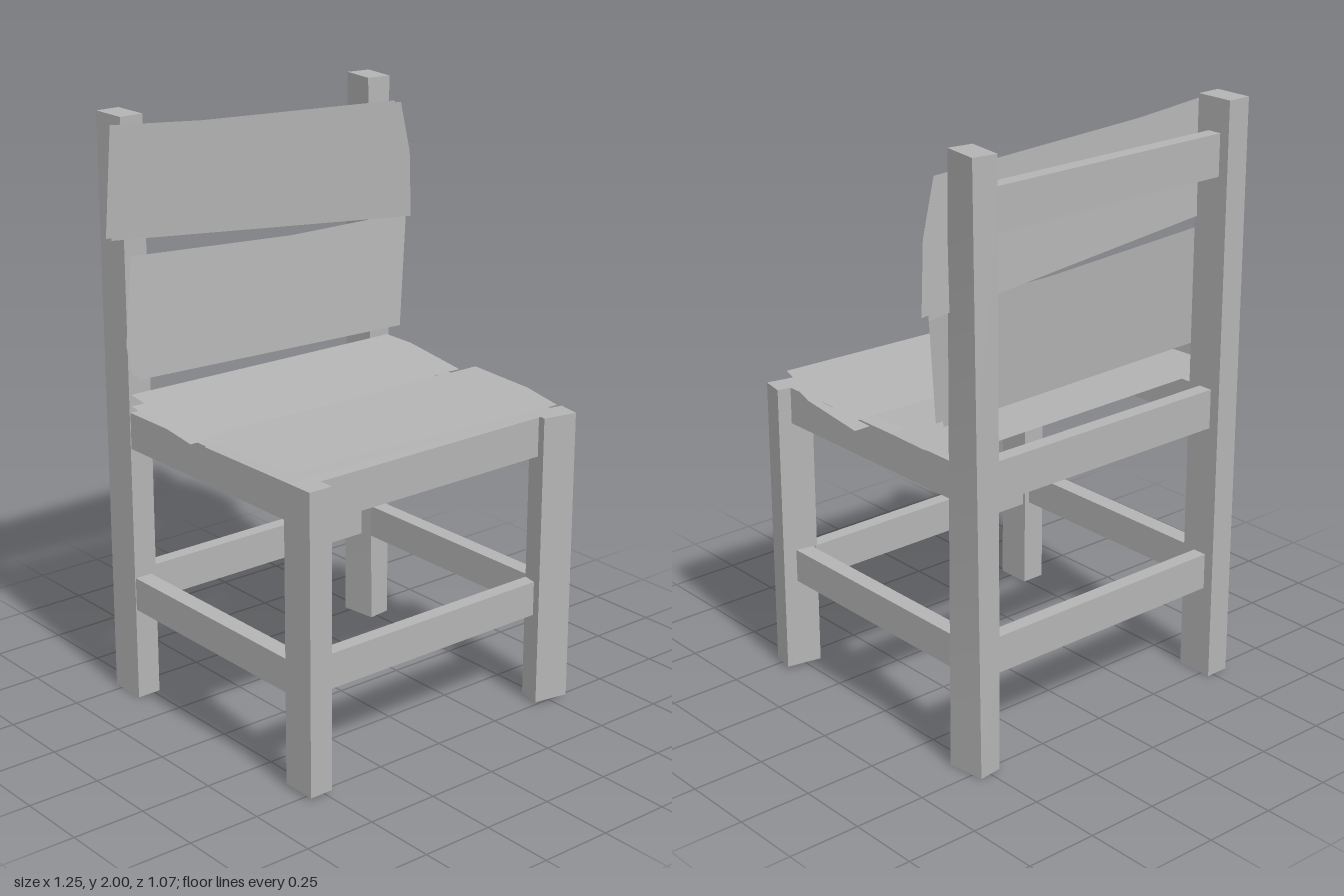
import * as THREE from 'three';

export function createModel() {
  const chair = new THREE.Group();
  chair.name = 'chair';
  const wood = new THREE.MeshStandardMaterial({ color: 0xb4b4b4, side: THREE.DoubleSide });
  wood.name = 'greyWood';

  function add(name, geometry) {
    const mesh = new THREE.Mesh(geometry, wood);
    mesh.name = name;
    chair.add(mesh);
    return mesh;
  }

  // Box given by its low and high limits on each axis
  function block(name, [x0, x1], [y0, y1], [z0, z1]) {
    const mesh = add(name, new THREE.BoxGeometry(x1 - x0, y1 - y0, z1 - z0));
    mesh.position.set((x0 + x1) / 2, (y0 + y1) / 2, (z0 + z1) / 2);
    return mesh;
  }

  // Straight legs, the front left one turned slightly
  block('frontRightLeg', [-0.563, -0.478], [0.01, 1.025], [0.41, 0.533]);
  block('backRightPost', [-0.563, -0.478], [0, 2], [-0.533, -0.4]);
  block('frontLeftLeg', [0.444, 0.567], [0.01, 1.025], [0.431, 0.513])
    .rotation.y = THREE.MathUtils.degToRad(-10.8);

  // Back left post, twisted along its height
  const post = new THREE.BoxGeometry(0.085, 2, 0.132, 1, 10, 1);
  const p = post.attributes.position;
  for (let i = 0; i < p.count; i++) {
    const t = (p.getY(i) + 1) / 2;
    const a = THREE.MathUtils.degToRad(THREE.MathUtils.lerp(7, -8, t));
    const x = p.getX(i), z = p.getZ(i);
    p.setX(i, x * Math.cos(a) + z * Math.sin(a));
    p.setZ(i, z * Math.cos(a) - x * Math.sin(a));
  }
  post.computeVertexNormals();
  add('backLeftPost', post).position.set(0.507, 1, -0.467);

  // Rails around the frame at two heights, plus the top back rail
  for (const [level, front, side, back] of [
    ['seat', [0.885, 1.02], [0.9, 1.025], [0.9, 1.035]],
    ['lower', [0.32, 0.44], [0.325, 0.44], [0.32, 0.445]],
  ]) {
    block(level + 'FrontRail', [-0.48, 0.46], front, [0.42, 0.47]);
    block(level + 'BackRail', [-0.48, 0.475], back, [-0.497, -0.447]);
    block(level + 'RightRail', [-0.56, -0.498], side, [-0.405, 0.43]);
    block(level + 'LeftRail', [0.47, 0.528], side, [-0.405, 0.435]);
  }
  block('topBackRail', [-0.48, 0.475], [1.75, 1.89], [-0.497, -0.447]);

  // Boards are pairs of thin sheets, open at the edges
  const sheet = (points) =>
    new THREE.ShapeGeometry(new THREE.Shape(points.map(([x, y]) => new THREE.Vector2(x, y))));

  // Seat boards: outline in x, z; height follows a slope
  function seatBoard(name, outline, heights) {
    heights.forEach((height, n) => {
      const g = sheet(outline.map(([x, z]) => [x, -z])).rotateX(-Math.PI / 2);
      const v = g.attributes.position;
      for (let i = 0; i < v.count; i++) v.setY(i, height(v.getZ(i)) - 0.008 * v.getX(i));
      g.computeVertexNormals();
      add(name + (n ? 'Underside' : 'Top'), g);
    });
  }
  seatBoard('frontSeatBoard',
    [[-0.57, 0.02], [-0.584, 0.456], [-0.218, 0.456], [0.497, 0.497], [0.554, 0.302], [0.587, 0.012]],
    [(z) => 1.055 + 0.015 * z, (z) => 1.022 + 0.025 * z]);
  seatBoard('backSeatBoard',
    [[-0.56, -0.39], [-0.594, -0.02], [-0.168, -0.027], [0.517, 0.007], [0.547, -0.278], [0.533, -0.39]],
    [(z) => 1.058 - 0.07 * z, (z) => 1.024 - 0.055 * z]);

  // Back slats: outline in x, y; depth follows a slope
  function backSlat(name, outline, depth, gap) {
    for (const n of [0, 1]) {
      const g = sheet(outline);
      const v = g.attributes.position;
      for (let i = 0; i < v.count; i++) v.setZ(i, depth(v.getY(i)) + 0.008 * v.getX(i) - n * gap);
      g.computeVertexNormals();
      add(name + (n ? 'Back' : 'Front'), g);
    }
  }
  backSlat('lowerBackSlat',
    [[-0.54, 1.548], [-0.582, 1.262], [-0.566, 1.156], [0.534, 1.13], [0.582, 1.512], [0.106, 1.512]],
    (y) => -0.328 - 0.076 * (y - 1.14), 0.036);
  backSlat('upperBackSlat',
    [[-0.605, 1.98], [-0.624, 1.617], [0.624, 1.5], [0.608, 1.733], [0.56, 1.913], [-0.254, 1.95]],
    (y) => -0.378 + 0.04 * (y - 1.5), 0.032);

  return chair;
}
